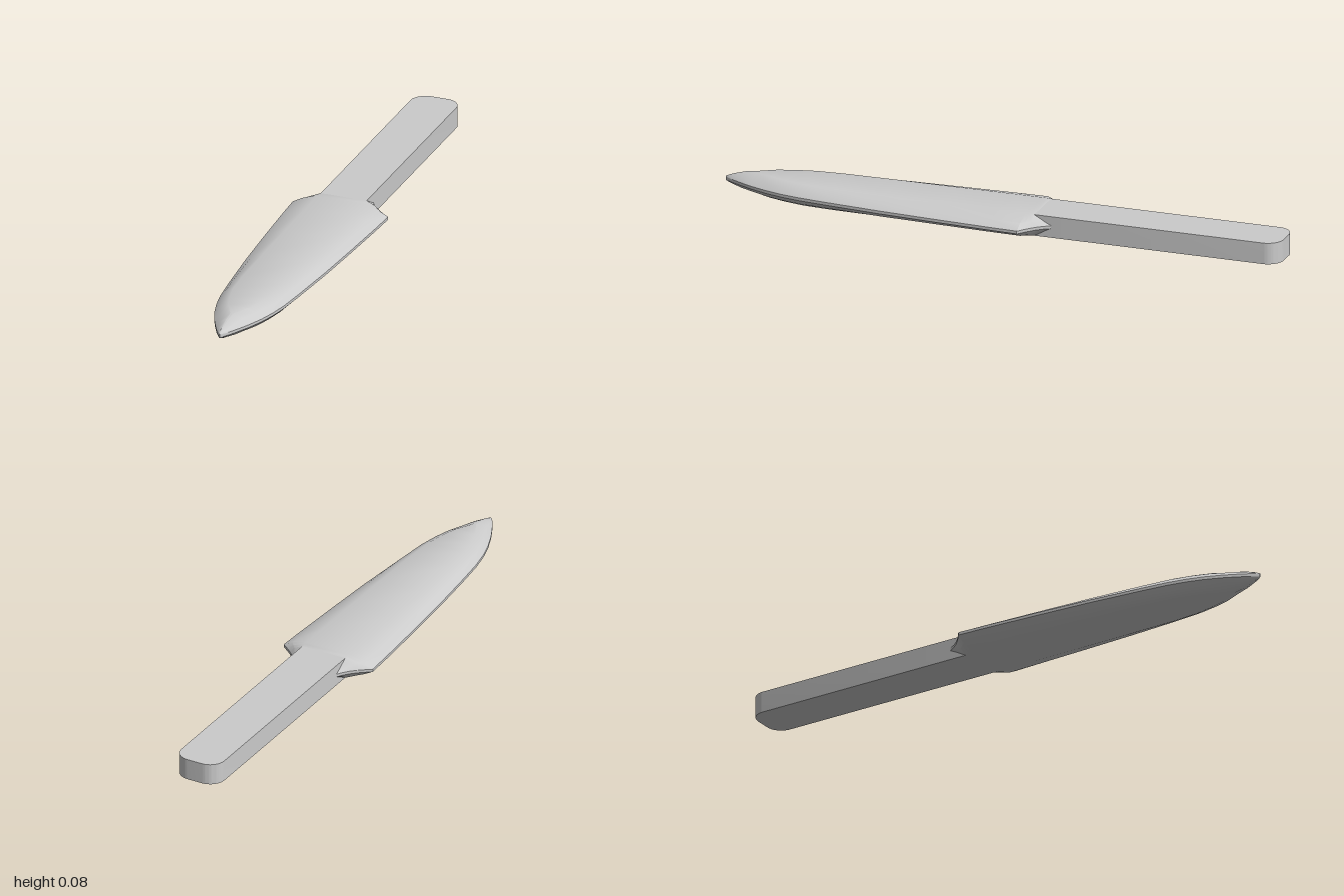
import * as THREE from 'three';
import { toCreasedNormals } from 'three/addons/utils/BufferGeometryUtils.js';

const MID = 0.0375, HALF = 0.0375, EDGE = 0.005, W = 0.083;

// Blade stations: [z, edge half width, flat half width, half thickness]
const stations = [
  [-0.19, 0.084, 0.08, 0.006],
  [-0.17, 0.096, 0.081, 0.016],
  [-0.15, 0.112, 0.082, 0.027],
  [-0.13, 0.133, 0.083, HALF],
  [-0.115, 0.152, 0.084, HALF],
  [-0.1, 0.172, 0.085, HALF],
  [0.0, 0.168, 0.085, HALF],
  [0.2, 0.157, 0.083, HALF],
  [0.4, 0.144, 0.081, HALF],
  [0.6, 0.126, 0.077, HALF],
  [0.7, 0.115, 0.07, HALF],
  [0.77, 0.102, 0.055, HALF],
  [0.83, 0.085, 0.036, HALF],
  [0.89, 0.062, 0.004, 0.0365],
  [0.93, 0.043, 0.003, 0.031],
  [0.965, 0.025, 0.002, 0.021],
  [0.985, 0.013, 0.002, 0.014],
  [1.0, 0.002, 0.001, 0.007],
];

// Bevelled section, counter-clockwise seen from the tip
function section([z, edge, flat, h]) {
  const shoulder = flat + (edge - flat) * 0.62;
  const shoulderH = EDGE + (h - EDGE) * 0.55;
  const quarter = [[edge, EDGE], [shoulder, shoulderH], [flat, h]];
  const top = [...quarter, ...quarter.map(([x, y]) => [-x, y]).reverse()];
  const bottom = top.map(([x, y]) => [-x, -y]);
  return [...top, ...bottom].map(([x, y]) => [x, MID + y, z]);
}

function loft(rings) {
  const pos = [], n = rings[0].length;
  const tri = (a, b, c) => pos.push(...a, ...b, ...c);
  for (let i = 0; i < rings.length - 1; i++) {
    for (let j = 0; j < n; j++) {
      const k = (j + 1) % n, r = rings[i], s = rings[i + 1];
      tri(r[j], r[k], s[k]);
      tri(r[j], s[k], s[j]);
    }
  }
  // End caps
  const first = rings[0], last = rings[rings.length - 1];
  for (let j = 1; j < n - 1; j++) {
    tri(first[0], first[j + 1], first[j]);
    tri(last[0], last[j], last[j + 1]);
  }
  const g = new THREE.BufferGeometry();
  g.setAttribute('position', new THREE.Float32BufferAttribute(pos, 3));
  return toCreasedNormals(g, 0.5);
}

// Flat bar with a rounded butt; shape y becomes -z
function handleGeometry() {
  const r = 0.055, front = 0.13;
  const s = new THREE.Shape();
  s.moveTo(-W, front);
  s.lineTo(W, front);
  s.lineTo(W, 1 - r);
  s.absarc(W - r, 1 - r, r, 0, Math.PI / 2, false);
  s.lineTo(-W + r, 1);
  s.absarc(-W + r, 1 - r, r, Math.PI / 2, Math.PI, false);
  s.closePath();
  const g = new THREE.ExtrudeGeometry(s, { depth: 2 * HALF, bevelEnabled: false, curveSegments: 10 });
  g.rotateX(-Math.PI / 2);
  return toCreasedNormals(g, 0.5);
}

export function createModel() {
  const group = new THREE.Group();
  group.name = 'knife';
  const material = new THREE.MeshStandardMaterial({ color: 0xcccccc });

  const blade = new THREE.Mesh(loft(stations.map(section)), material);
  blade.name = 'blade';
  const handle = new THREE.Mesh(handleGeometry(), material);
  handle.name = 'handle';

  group.add(blade, handle);
  return group;
}
